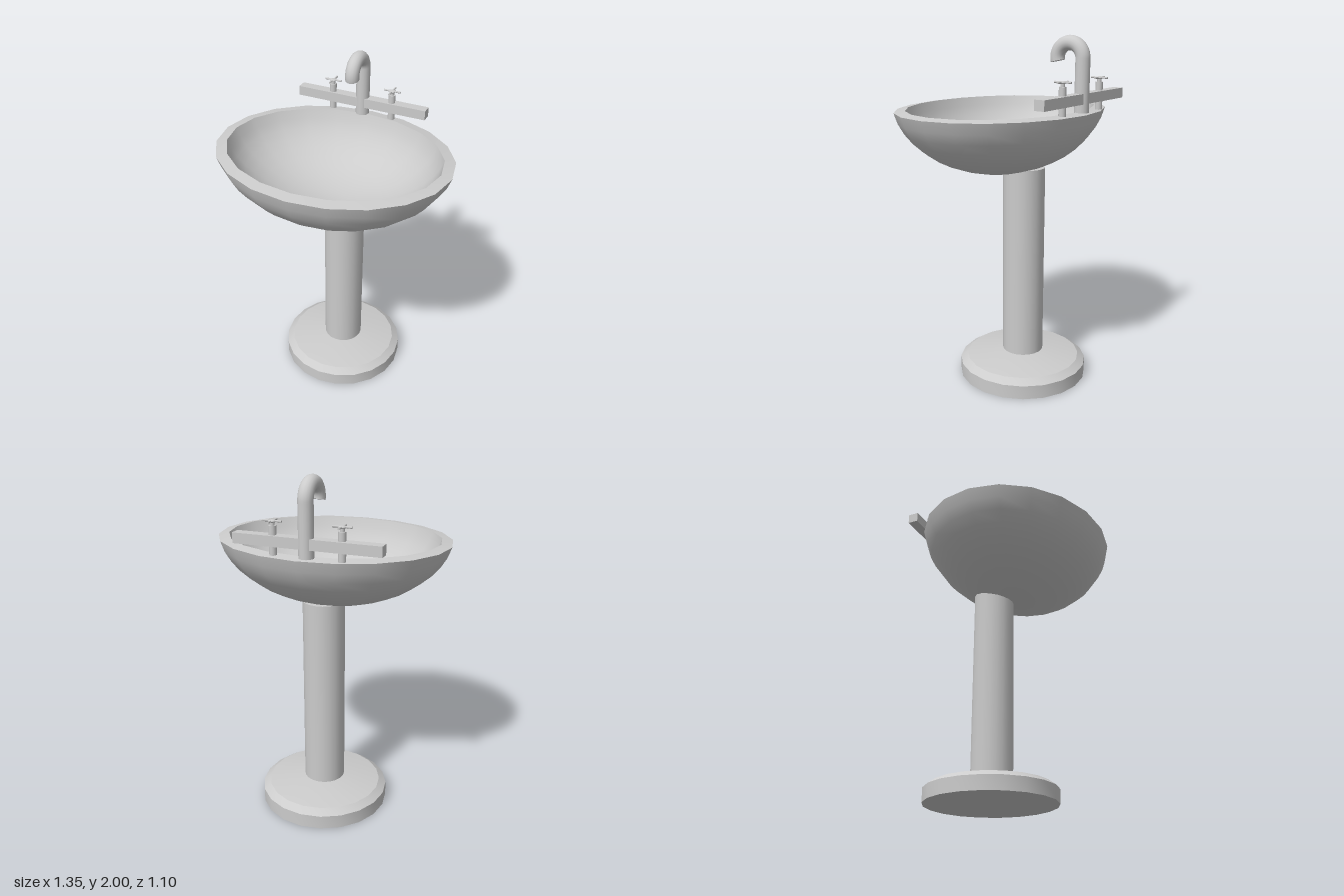
import * as THREE from 'three';
import { mergeVertices, toCreasedNormals } from 'three/addons/utils/BufferGeometryUtils.js';

const material = new THREE.MeshStandardMaterial({ color: 0xcccccc });
const SIDES = 20;

function add(parent, name, geometry, x = 0, y = 0, z = 0) {
  const mesh = new THREE.Mesh(geometry, material);
  mesh.name = name;
  mesh.position.set(x, y, z);
  parent.add(mesh);
  return mesh;
}

// Lathe with an elliptical plan: each ring is [x radius, y, z radius]
function ellipticLathe(rings) {
  const g = new THREE.LatheGeometry(rings.map(([rx, y]) => new THREE.Vector2(rx, y)), SIDES);
  const p = g.attributes.position;
  for (let i = 0; i < p.count; i++) {
    const [rx, , rz] = rings[i % rings.length];
    if (rx > 0) p.setZ(i, p.getZ(i) * rz / rx);
  }
  g.deleteAttribute('uv');
  g.deleteAttribute('normal');
  const merged = mergeVertices(g, 1e-5);
  merged.computeVertexNormals();
  return merged;
}

// Shallow ellipsoid cap, from the bottom point up to the rim
function bowlRings(rx, rz, bottom, top) {
  const rings = [], steps = 10, end = THREE.MathUtils.degToRad(80);
  for (let i = 0; i <= steps; i++) {
    const t = end * i / steps;
    const r = Math.sin(t) / Math.sin(end);
    const h = (1 - Math.cos(t)) / (1 - Math.cos(end));
    rings.push([rx * r, bottom + (top - bottom) * h, rz * r]);
  }
  return rings;
}

function makeBasin() {
  const basin = new THREE.Group();
  basin.name = 'basin';
  add(basin, 'bowlOutside', ellipticLathe(bowlRings(0.675, 0.55, 1.218, 1.59)));
  add(basin, 'bowlRim', ellipticLathe([[0.675, 1.59, 0.55], [0.615, 1.6, 0.485]]));
  add(basin, 'bowlInside', ellipticLathe(bowlRings(0.615, 0.485, 1.28, 1.6).reverse()));
  return basin;
}

function makePedestal() {
  const pedestal = new THREE.Group();
  pedestal.name = 'pedestal';
  pedestal.position.z = -0.157;
  const profile = [[0, 0], [0.377, 0], [0.377, 0.08], [0.335, 0.11], [0.12, 0.145], [0, 0.145]]
    .map(([r, y]) => new THREE.Vector2(r, y));
  add(pedestal, 'foot', toCreasedNormals(new THREE.LatheGeometry(profile, SIDES), 0.36));
  add(pedestal, 'column', new THREE.CylinderGeometry(0.12, 0.12, 1.125, SIDES), 0, 0.7025, 0);
  return pedestal;
}

// Straight riser followed by a half-circle hook
class SpoutCurve extends THREE.Curve {
  getPoint(t, target = new THREE.Vector3()) {
    const rise = 0.285, R = 0.079, arc = Math.PI * 193 / 180;
    const s = t * (rise + R * arc);
    if (s < rise) return target.set(0, 1.597 + s, -R);
    const a = (s - rise) / R;
    return target.set(0, 1.597 + rise + R * Math.sin(a), -R * Math.cos(a));
  }
}

function makeValve(x) {
  const valve = new THREE.Group();
  valve.name = 'valve';
  valve.position.set(x, 0, -0.493);
  add(valve, 'stem', new THREE.CylinderGeometry(0.02, 0.02, 0.152, 12), 0, 1.671, 0);
  add(valve, 'neck', new THREE.CylinderGeometry(0.012, 0.012, 0.025, 12), 0, 1.757, 0);
  const hub = add(valve, 'hub', new THREE.SphereGeometry(0.021, 12, 8), 0, 1.769, 0);
  hub.scale.y = 0.4;
  // Four arms flaring slightly outwards
  for (let i = 0; i < 4; i++) {
    const arm = new THREE.CylinderGeometry(0.006, 0.004, 0.05, 8);
    arm.rotateZ(-Math.PI / 2).translate(0.026, 0, 0);
    add(valve, 'handleArm', arm, 0, 1.77, 0).rotation.y = i * Math.PI / 2;
  }
  return valve;
}

function makeFaucet() {
  const faucet = new THREE.Group();
  faucet.name = 'faucet';
  add(faucet, 'crossbar', new THREE.BoxGeometry(0.805, 0.056, 0.06), -0.048, 1.672, -0.495);
  const curve = new SpoutCurve();
  add(faucet, 'spout', new THREE.TubeGeometry(curve, 48, 0.04, 16), -0.045, 0, -0.418);
  // Close the mouth of the spout
  const mouth = add(faucet, 'spoutMouth', new THREE.CircleGeometry(0.04, 16));
  mouth.position.copy(curve.getPoint(1)).add(new THREE.Vector3(-0.045, 0, -0.418));
  mouth.quaternion.setFromUnitVectors(new THREE.Vector3(0, 0, 1), curve.getTangent(1));
  for (const x of [-0.235, 0.14]) faucet.add(makeValve(x));
  return faucet;
}

export function createModel() {
  const sink = new THREE.Group();
  sink.name = 'pedestalSink';
  sink.add(makePedestal(), makeBasin(), makeFaucet());
  return sink;
}
